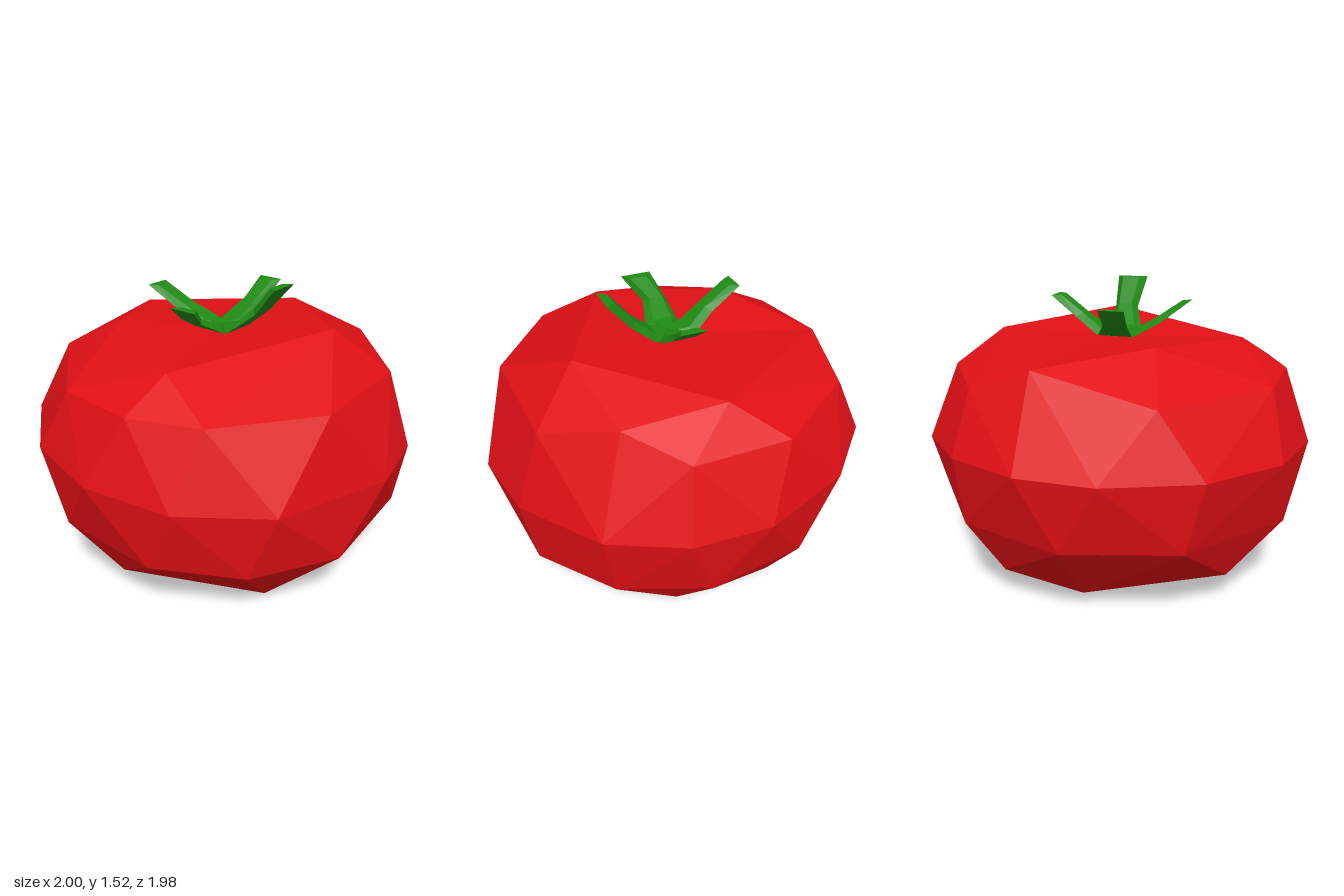
import * as THREE from 'three';
import { ConvexGeometry } from 'three/addons/geometries/ConvexGeometry.js';

const red = new THREE.MeshStandardMaterial({ color: 0xe01015, flatShading: true });
const green = new THREE.MeshStandardMaterial({ color: 0x1f8a14, flatShading: true });

// Uneven rings of the fruit: height, front-to-back tilt, radius, angles from +x towards +z
const rings = [
  { y: 1.1, tilt: 0, r: 0.87, angles: [-16, 16, 66, 108, 146, 170, 198, 243, 307] },
  { y: 0.76, tilt: -0.05, r: 1, angles: [-5, 17, 40, 68, 90, 127, 154, 180, 205, 232, 259, 281, 304, 327] },
  { y: 0.41, tilt: -0.05, r: 0.95, angles: [-20, 10, 38, 66, 105, 134, 162, 195, 236, 270, 305] },
  { y: 0.17, tilt: 0, r: 0.79, angles: [-18, 20, 180, 212, 300] },
];
// Shoulder points around the dimple, and the points it rests on
const shoulder = [[0.67, 1.26, 0], [0.6, 1.19, 0.48], [0.17, 1.32, 0.56], [-0.62, 1.24, 0.18], [-0.3, 1.29, -0.43], [0.2, 1.22, -0.73]];
const base = [[-0.33, 0, 0], [0.37, 0.02, -0.2], [-0.1, 0.01, -0.25], [0, 0.08, -0.64], [-0.36, 0.04, 0.57], [0.17, 0.05, 0.57]];

function makeFruit() {
  const points = [...shoulder, ...base].map((p) => new THREE.Vector3(...p));
  for (const { y, tilt, r, angles } of rings) {
    for (const deg of angles) {
      const a = THREE.MathUtils.degToRad(deg);
      const z = r * Math.sin(a);
      points.push(new THREE.Vector3(r * Math.cos(a), y + tilt * z, z));
    }
  }
  points.push(new THREE.Vector3(0, 1.38, 0));
  const geometry = new ConvexGeometry(points);
  // Press the middle of the top down into a dimple
  const pos = geometry.attributes.position;
  for (let i = 0; i < pos.count; i++) {
    if (pos.getY(i) > 1.35) pos.setY(i, 1.255);
  }
  geometry.computeVertexNormals();
  const fruit = new THREE.Mesh(geometry, red);
  fruit.name = 'fruit';
  return fruit;
}

// A curling sepal growing along +z, with a bevelled four-sided section
function makeSepal({ name, turn, tip, tipWidth, drift, midDrift }) {
  const [tipZ, tipY] = tip;
  // Each section: z, y, sideways drift, width, and the inset of its upper face in z and y
  const sections = [
    [0, 1.25, 0, 0.08, 0, 0.03],
    [0.1, 1.265, 0, 0.18, -0.01, 0.03],
    [0.23, 1.34 + (tipY - 1.44) * 0.4, midDrift, 0.125, -0.03, 0.02],
    [tipZ, tipY, drift, tipWidth, -0.045, 0],
  ];
  const positions = [];
  const index = [];
  sections.forEach(([z, y, x, w, dz, dy], i) => {
    const low = w / 2;
    const high = w * 0.28;
    positions.push(x - low, y, z, x + low, y, z, x + high, y + dy, z + dz, x - high, y + dy, z + dz);
    if (i === sections.length - 1) return;
    for (let k = 0; k < 4; k++) {
      const a = i * 4 + k;
      const b = i * 4 + ((k + 1) % 4);
      index.push(a, b, b + 4, a, b + 4, a + 4);
    }
  });
  const end = (sections.length - 1) * 4;
  index.push(end, end + 1, end + 2, end, end + 2, end + 3);
  const geometry = new THREE.BufferGeometry();
  geometry.setAttribute('position', new THREE.Float32BufferAttribute(positions, 3));
  geometry.setIndex(index);
  const flat = geometry.toNonIndexed();
  flat.computeVertexNormals();
  const sepal = new THREE.Mesh(flat, green);
  sepal.name = name;
  sepal.rotation.y = turn;
  return sepal;
}

export function createModel() {
  const model = new THREE.Group();
  model.name = 'tomato';
  model.add(makeFruit());

  const calyx = new THREE.Group();
  calyx.name = 'calyx';
  const sepals = [
    { name: 'frontSepal', turn: 0, tip: [0.355, 1.52], tipWidth: 0.165, drift: 0.03, midDrift: 0.03 },
    { name: 'leftSepal', turn: Math.PI / 2, tip: [0.37, 1.45], tipWidth: 0.135, drift: -0.035, midDrift: -0.02 },
    { name: 'backSepal', turn: Math.PI, tip: [0.395, 1.44], tipWidth: 0.13, drift: 0.07, midDrift: 0.04 },
    { name: 'rightSepal', turn: -Math.PI / 2, tip: [0.355, 1.435], tipWidth: 0.16, drift: 0.045, midDrift: -0.01 },
  ];
  for (const sepal of sepals) calyx.add(makeSepal(sepal));
  model.add(calyx);
  return model;
}
